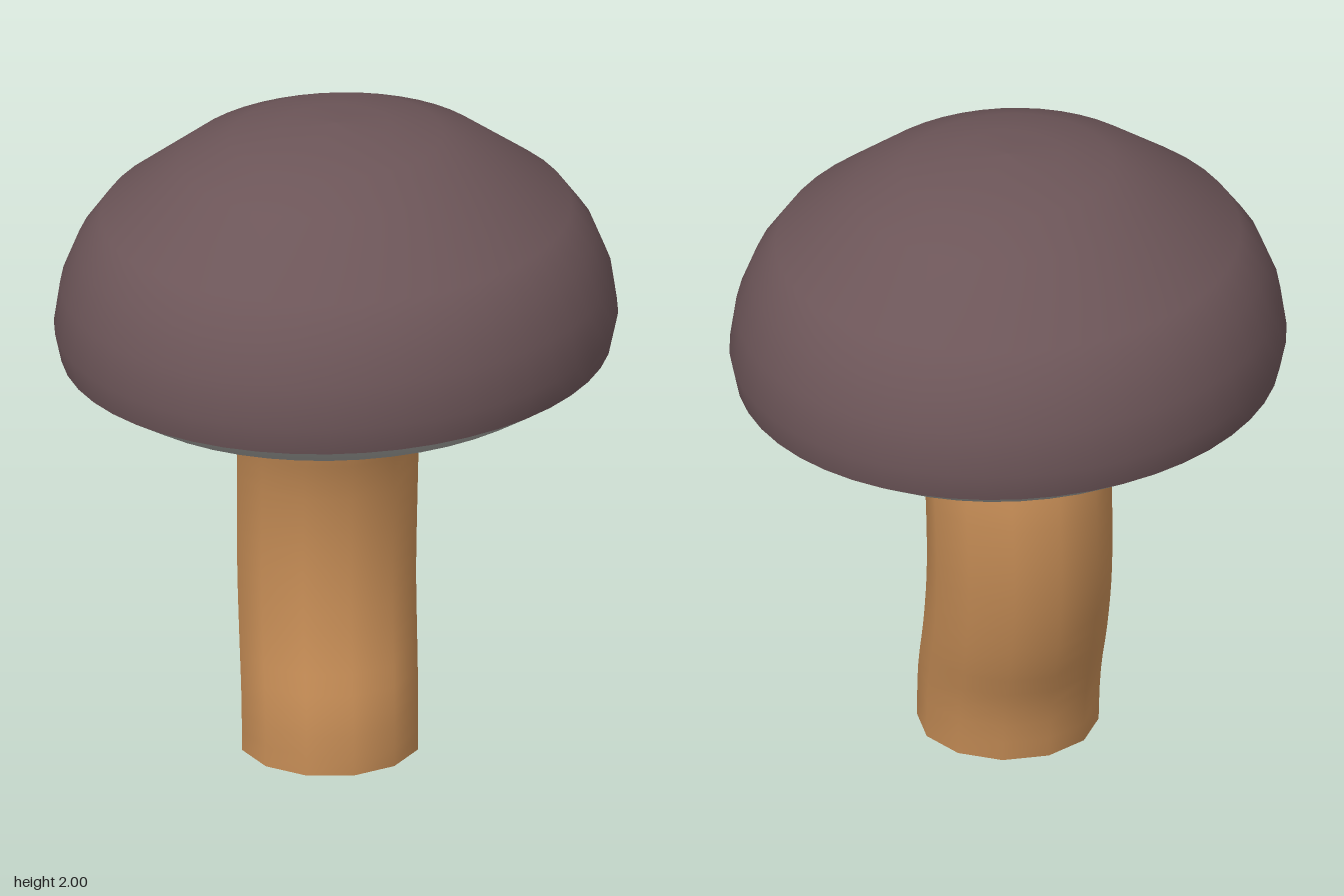
import * as THREE from 'three';
import { toCreasedNormals } from 'three/addons/utils/BufferGeometryUtils.js';

const mat = (name, color) => {
  const m = new THREE.MeshStandardMaterial({ color });
  m.name = name;
  return m;
};

// Oval lathe: profile runs from bottom to top, squashed along z
function ovalLathe(name, profile, material) {
  const g = new THREE.LatheGeometry(profile.map(([r, y]) => new THREE.Vector2(r, y)), 48);
  g.scale(1, 1, 0.94);
  const mesh = new THREE.Mesh(g, material);
  mesh.name = name;
  return mesh;
}

export function createModel() {
  const group = new THREE.Group();
  group.name = 'mushroom';

  // Domed cap
  group.add(ovalLathe('cap', [
    [0.86, 1.27], [0.88, 1.36], [0.86, 1.49], [0.81, 1.61], [0.735, 1.71],
    [0.49, 1.89], [0.335, 1.955], [0.17, 1.99], [0, 2],
  ], mat('cap plum', 0x6c5558)));

  // Shallow bowl under the cap
  group.add(ovalLathe('capUnderside', [
    [0, 1.07], [0.28, 1.07], [0.36, 1.08], [0.55, 1.13], [0.735, 1.195], [0.86, 1.27],
  ], mat('underside grey', 0xa6a6a2)));

  // Bent stem: level rings shifted along a gentle S curve
  const height = 1.1;
  const spine = new THREE.SplineCurve([
    [-0.08, 0.053], [-0.065, 0.037], [-0.025, -0.01], [0, -0.04],
    [0.01, -0.048], [0, -0.035], [-0.032, 0],
  ].map(([x, z]) => new THREE.Vector2(x, z)));
  const stemGeo = new THREE.CylinderGeometry(0.285, 0.275, height, 12, 18);
  stemGeo.translate(0, height / 2, 0);
  const p = stemGeo.attributes.position;
  for (let i = 0; i < p.count; i++) {
    const c = spine.getPoint(THREE.MathUtils.clamp(p.getY(i) / height, 0, 1));
    p.setX(i, p.getX(i) + c.x);
    p.setZ(i, p.getZ(i) + c.y);
  }
  const stem = new THREE.Mesh(toCreasedNormals(stemGeo, 0.8), mat('stem tan', 0xc28a54));
  stem.name = 'stem';
  group.add(stem);

  return group;
}
